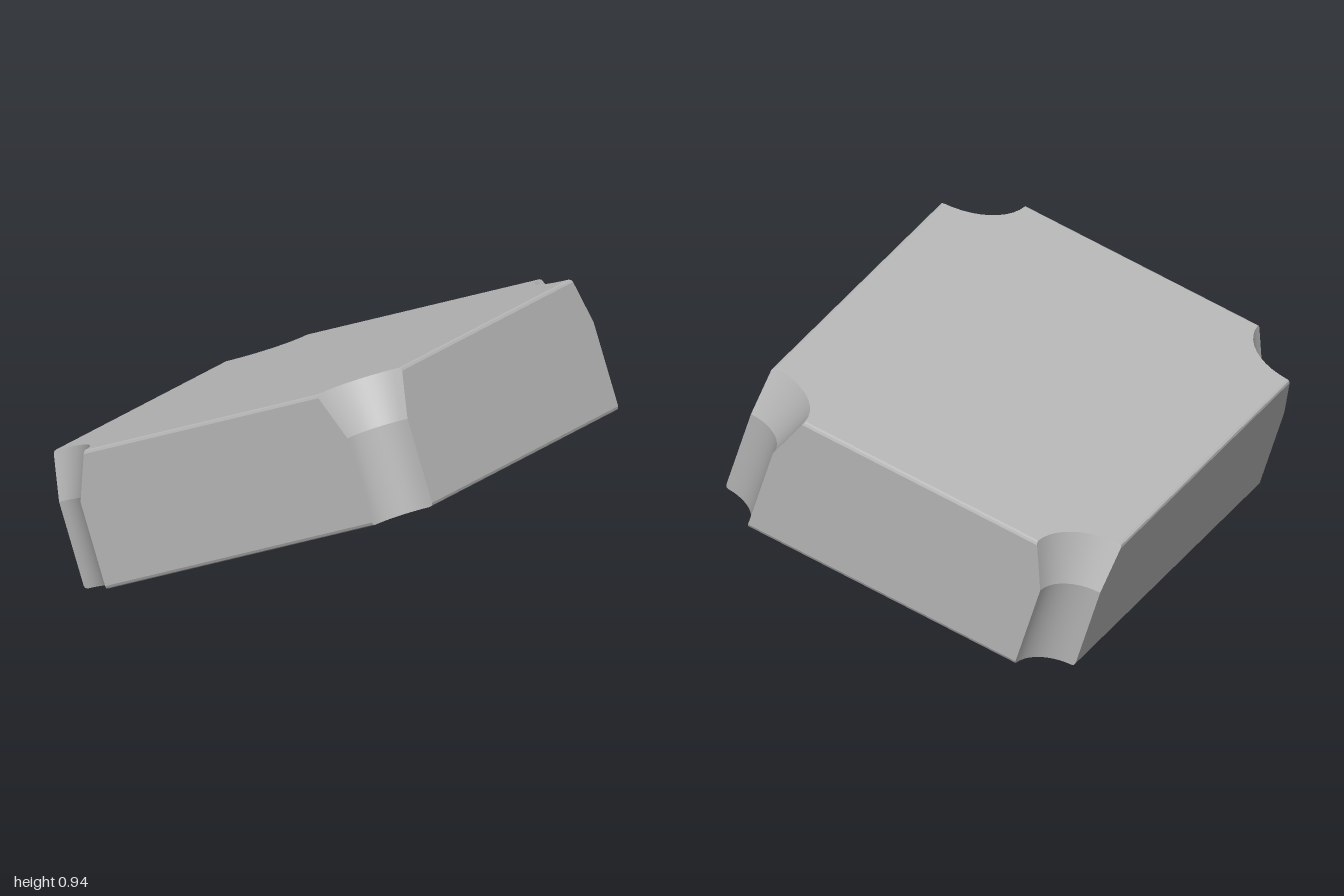
import * as THREE from 'three';
import { mergeGeometries, toCreasedNormals } from 'three/addons/utils/BufferGeometryUtils.js';

const HX = 0.735, HZ = 1, H = 0.517;          // half width, half depth, thickness
const R_LOW = 0.172, R_TOP = 0.245, CONE_Y = 0.335; // corner notch: cylinder, then flare
const BEVEL = 0.013, HOLE_R = 0.158, HOLE_DEPTH = 0.38;
const TILT = Math.atan(0.45 / 1.395);

const notchRadius = (y) =>
  y <= CONE_Y ? R_LOW : R_LOW + (R_TOP - R_LOW) * (y - CONE_Y) / (H - CONE_Y);

// Rectangle with a concave arc around each corner; inset pulls in the straight sides
function outline(r, inset, steps = 10) {
  const pts = [];
  const a0 = Math.asin(inset / r);
  const signs = [[1, 1], [-1, 1], [-1, -1], [1, -1]];
  signs.forEach(([sx, sz], corner) => {
    for (let i = 0; i <= steps; i++) {
      const k = corner % 2 ? steps - i : i;
      const a = a0 + (Math.PI / 2 - 2 * a0) * k / steps;
      pts.push(new THREE.Vector2(sx * (HX - r * Math.sin(a)), sz * (HZ - r * Math.cos(a))));
    }
  });
  // walk every corner from its x side to its z side in one continuous loop
  return pts;
}

// Side walls lofted through outlines at several heights
function wallGeometry(levels) {
  const pos = [], index = [];
  const n = levels[0].points.length;
  for (const { y, points } of levels) for (const p of points) pos.push(p.x, y, p.y);
  for (let l = 0; l < levels.length - 1; l++) {
    for (let j = 0; j < n; j++) {
      const a = l * n + j, b = l * n + (j + 1) % n;
      index.push(a, a + n, b, b, a + n, b + n);
    }
  }
  const geo = new THREE.BufferGeometry();
  geo.setAttribute('position', new THREE.Float32BufferAttribute(pos, 3));
  geo.setIndex(index);
  return geo;
}

function capGeometry(points, y, up, holeRadius) {
  const shape = new THREE.Shape(points);
  if (holeRadius) shape.holes.push(new THREE.Path().absarc(0, 0, holeRadius, 0, Math.PI * 2, true));
  const geo = new THREE.ShapeGeometry(shape, 24);
  geo.rotateX(up ? -Math.PI / 2 : Math.PI / 2);
  geo.translate(0, y, 0);
  return geo;
}

function bodyGeometry() {
  // heights with the inset of the rounded top and bottom edges
  const s = BEVEL * (1 - Math.SQRT1_2);
  const rows = [[0, BEVEL], [s, s], [BEVEL, 0], [CONE_Y, 0], [H - BEVEL, 0], [H - s, s], [H, BEVEL]];
  const levels = rows.map(([y, inset]) => {
    const points = outline(notchRadius(y), inset);
    return { y, points };
  });
  const parts = [
    wallGeometry(levels),
    capGeometry(levels[0].points, 0, false, HOLE_R),
    capGeometry(levels[levels.length - 1].points, H, true),
  ].map((g) => {
    const flat = g.toNonIndexed();
    flat.deleteAttribute('uv');
    flat.deleteAttribute('normal');
    return flat;
  });
  return toCreasedNormals(mergeGeometries(parts), 0.35);
}

export function createModel() {
  const grey = new THREE.MeshStandardMaterial({ color: 0xb8b8b8 });
  grey.name = 'plain grey';

  const block = new THREE.Group();
  block.name = 'tiltedBlock';

  const body = new THREE.Mesh(bodyGeometry(), grey);
  body.name = 'notchedBody';
  block.add(body);

  // Blind hole in the underside, facing inward
  const holeProfile = [[0, HOLE_DEPTH], [HOLE_R, HOLE_DEPTH], [HOLE_R, 0]];
  const bore = new THREE.LatheGeometry(holeProfile.map(([x, y]) => new THREE.Vector2(x, y)), 48);
  const hole = new THREE.Mesh(toCreasedNormals(bore, 0.5), grey);
  hole.name = 'blindHole';
  block.add(hole);

  // Tilt about z, then rest the lowest edge on the ground and centre it
  block.rotation.z = TILT;
  const model = new THREE.Group();
  model.name = 'model';
  model.add(block);
  model.updateMatrixWorld(true);
  const box = new THREE.Box3().setFromObject(block, true);
  block.position.set(-(box.min.x + box.max.x) / 2, -box.min.y, 0);
  return model;
}
